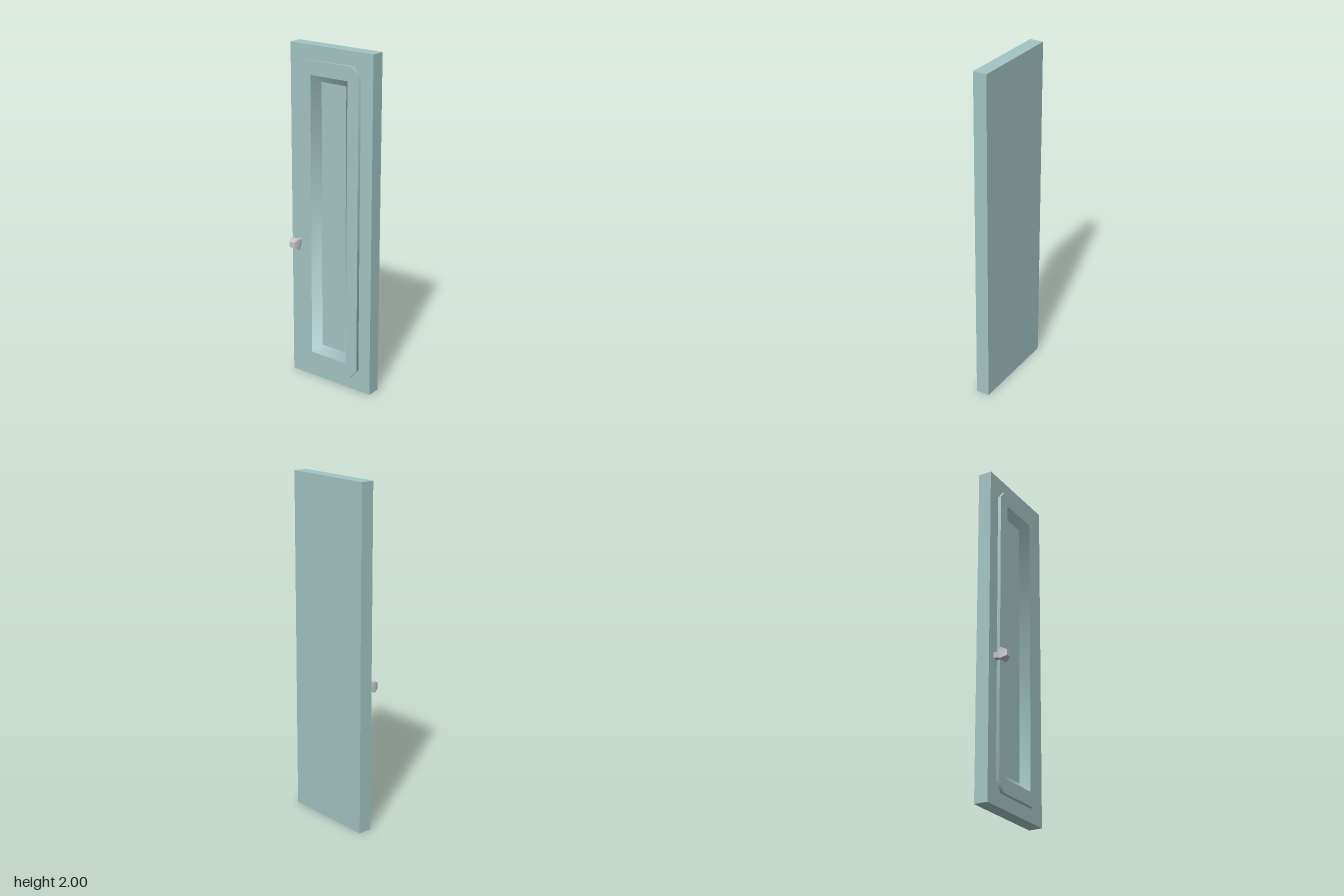
import * as THREE from 'three';
import { toCreasedNormals } from 'three/addons/utils/BufferGeometryUtils.js';

// Depths along x: plain side, panelled side, frame front, recess floor
const BACK = 0.083;
const FRONT = 0.002;
const RIM = -0.018;
const FLOOR = 0.028;
const INSET = 0.042; // how far the recess walls slope inward

// Outlines in (z, y), counter-clockwise as seen from the panelled side
const rect = (hw, y0, y1) => [[-hw, y0], [hw, y0], [hw, y1], [-hw, y1]];
const chamfered = (hw, y0, y1, cz, cy) => [
  [-hw + cz, y0], [hw - cz, y0], [hw, y0 + cy], [hw, y1 - cy],
  [hw - cz, y1], [-hw + cz, y1], [-hw, y1 - cy], [-hw, y0 + cy],
];

// Flat face looking toward -x, with an optional opening
function face(outline, hole, x) {
  const toVectors = (pts) => pts.map(([z, y]) => new THREE.Vector2(z, y));
  const shape = new THREE.Shape(toVectors(outline));
  if (hole) shape.holes.push(new THREE.Path(toVectors(hole)));
  return new THREE.ShapeGeometry(shape).rotateY(-Math.PI / 2).translate(x, 0, 0);
}

// Wall between two outlines; normals at each corner are the mean of both sides
function wall(back, front, xBack, xFront, slope) {
  const n = front.length;
  const depth = xBack - xFront;
  const sides = front.map(([z, y], i) => {
    const [z2, y2] = front[(i + 1) % n];
    return new THREE.Vector3(0, z - z2, y2 - y).setLength(depth).setX(-slope);
  });
  const pos = [];
  const normal = [];
  const index = [];
  for (const [outline, x] of [[back, xBack], [front, xFront]]) {
    outline.forEach(([z, y], i) => {
      const m = sides[i].clone().add(sides[(i + n - 1) % n]).normalize();
      pos.push(x, y, z);
      normal.push(m.x, m.y, m.z);
    });
  }
  for (let i = 0; i < n; i++) {
    const j = (i + 1) % n;
    index.push(i, j, n + j, i, n + j, n + i);
  }
  const geo = new THREE.BufferGeometry();
  geo.setAttribute('position', new THREE.Float32BufferAttribute(pos, 3));
  geo.setAttribute('normal', new THREE.Float32BufferAttribute(normal, 3));
  geo.setIndex(index);
  return geo;
}

export function createModel() {
  const paint = new THREE.MeshStandardMaterial({ name: 'paintedTeal', color: 0xa2c5c4 });
  const metal = new THREE.MeshStandardMaterial({ name: 'greyMetal', color: 0xc5c6ca });

  const model = new THREE.Group();
  model.name = 'door';
  const addGroup = (name) => {
    const group = new THREE.Group();
    group.name = name;
    model.add(group);
    return group;
  };
  const add = (name, geo, mat, parent = model) => {
    const mesh = new THREE.Mesh(geo, mat);
    mesh.name = name;
    parent.add(mesh);
  };

  const slabOutline = rect(0.283, 0, 2);
  const frameOutline = chamfered(0.202, 0.08, 1.92, 0.045, 0.055);
  const opening = rect(0.127, 0.162, 1.838);
  const floor = rect(0.127 - INSET, 0.162 + INSET, 1.838 - INSET);

  // Slab: a box without its -x side, closed by a face with an opening
  const box = new THREE.BoxGeometry(BACK - FRONT, 2, 0.566).translate((BACK + FRONT) / 2, 1, 0);
  const idx = Array.from(box.index.array);
  idx.splice(6, 6);
  box.setIndex(idx);
  box.clearGroups();
  add('slab', box, paint);
  add('slabFace', face(slabOutline, opening, FRONT), paint);

  // Raised frame around the recess
  const frame = addGroup('raisedFrame');
  add('frameFace', face(frameOutline, opening, RIM), paint, frame);
  add('frameEdge', wall(frameOutline, frameOutline, FRONT, RIM, 0), paint, frame);

  // Recessed panel with sloping walls
  const recess = addGroup('recess');
  add('recessWalls', wall(floor.reverse(), opening.reverse(), FLOOR, RIM, INSET), paint, recess);
  add('recessFloor', face(floor, null, FLOOR), paint, recess);

  // Knob: square stem and bulb with a flat end, turned to point along -x
  const knob = addGroup('knob');
  knob.position.set(FRONT, 0.84, -0.22);
  knob.rotation.z = Math.PI / 2;
  const profile = [[0.017, 0], [0.017, 0.02], [0.0335, 0.052], [0.017, 0.086]]
    .map(([half, h]) => new THREE.Vector2(half * Math.SQRT2, h));
  const body = new THREE.LatheGeometry(profile, 4, Math.PI / 4);
  add('knobBody', toCreasedNormals(body, 1.1), metal, knob);
  add('knobEnd', new THREE.PlaneGeometry(0.034, 0.034).rotateX(-Math.PI / 2).translate(0, 0.086, 0), metal, knob);

  return model;
}
